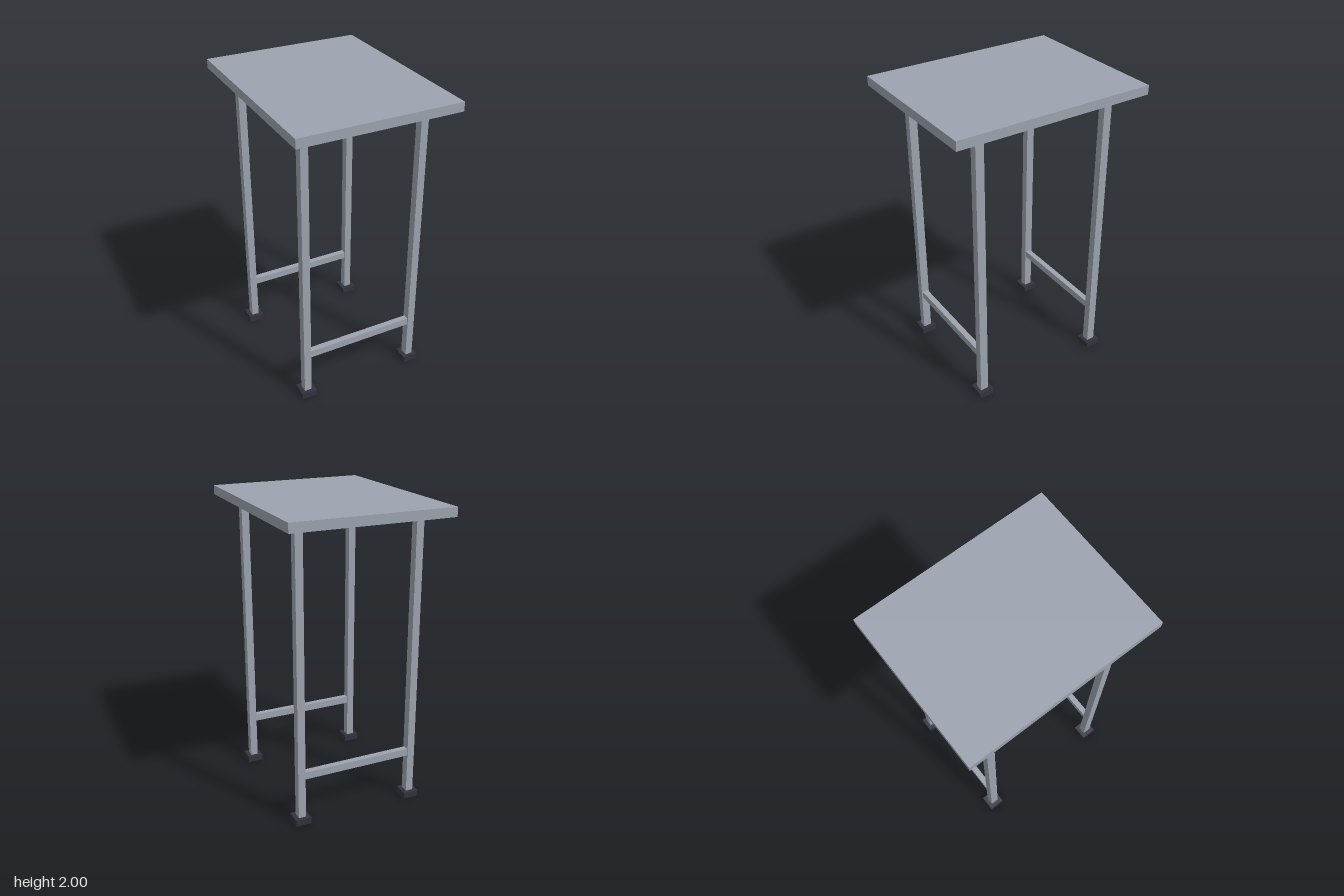
import * as THREE from 'three';

export function createModel() {
  const model = new THREE.Group();
  const steel = new THREE.MeshStandardMaterial({ color: 0x9ca3af });
  steel.name = 'grey steel';
  const rubber = new THREE.MeshStandardMaterial({ color: 0x32323f });
  rubber.name = 'dark rubber';

  const add = (name, geometry, material, x, y, z) => {
    const mesh = new THREE.Mesh(geometry, material);
    mesh.name = name;
    mesh.position.set(x, y, z);
    model.add(mesh);
  };

  const legX = 0.395, legZ = 0.455, legW = 0.05, legD = 0.056;
  const legBottom = 0.015, legTop = 1.91;

  // Tabletop, floating just above the legs
  add('tabletop', new THREE.BoxGeometry(1.06, 0.06, 1.33), steel, 0, 1.97, 0);

  // Foot: a square collar, open underneath around the leg
  const outline = new THREE.Shape();
  const f = 0.0525;
  outline.moveTo(-f, -f).lineTo(f, -f).lineTo(f, f).lineTo(-f, f).closePath();
  const hole = new THREE.Path();
  const hx = legW / 2, hz = legD / 2;
  hole.moveTo(-hx, -hz).lineTo(-hx, hz).lineTo(hx, hz).lineTo(hx, -hz).closePath();
  outline.holes.push(hole);
  const footGeometry = new THREE.ExtrudeGeometry(outline, { depth: 0.042, bevelEnabled: false });
  footGeometry.rotateX(-Math.PI / 2);

  const legGeometry = new THREE.BoxGeometry(legW, legTop - legBottom, legD);
  const railGeometry = new THREE.BoxGeometry(2 * legX - legW, 0.05, 0.04);

  for (const [sz, end] of [[1, 'front'], [-1, 'back']]) {
    // Cross rail joining each pair of legs
    add(end + 'Rail', railGeometry, steel, 0, 0.335, sz * legZ);
    for (const [sx, side] of [[1, 'Left'], [-1, 'Right']]) {
      add(end + side + 'Leg', legGeometry, steel, sx * legX, (legTop + legBottom) / 2, sz * legZ);
      add(end + side + 'Foot', footGeometry, rubber, sx * legX, 0, sz * legZ);
    }
  }
  return model;
}
